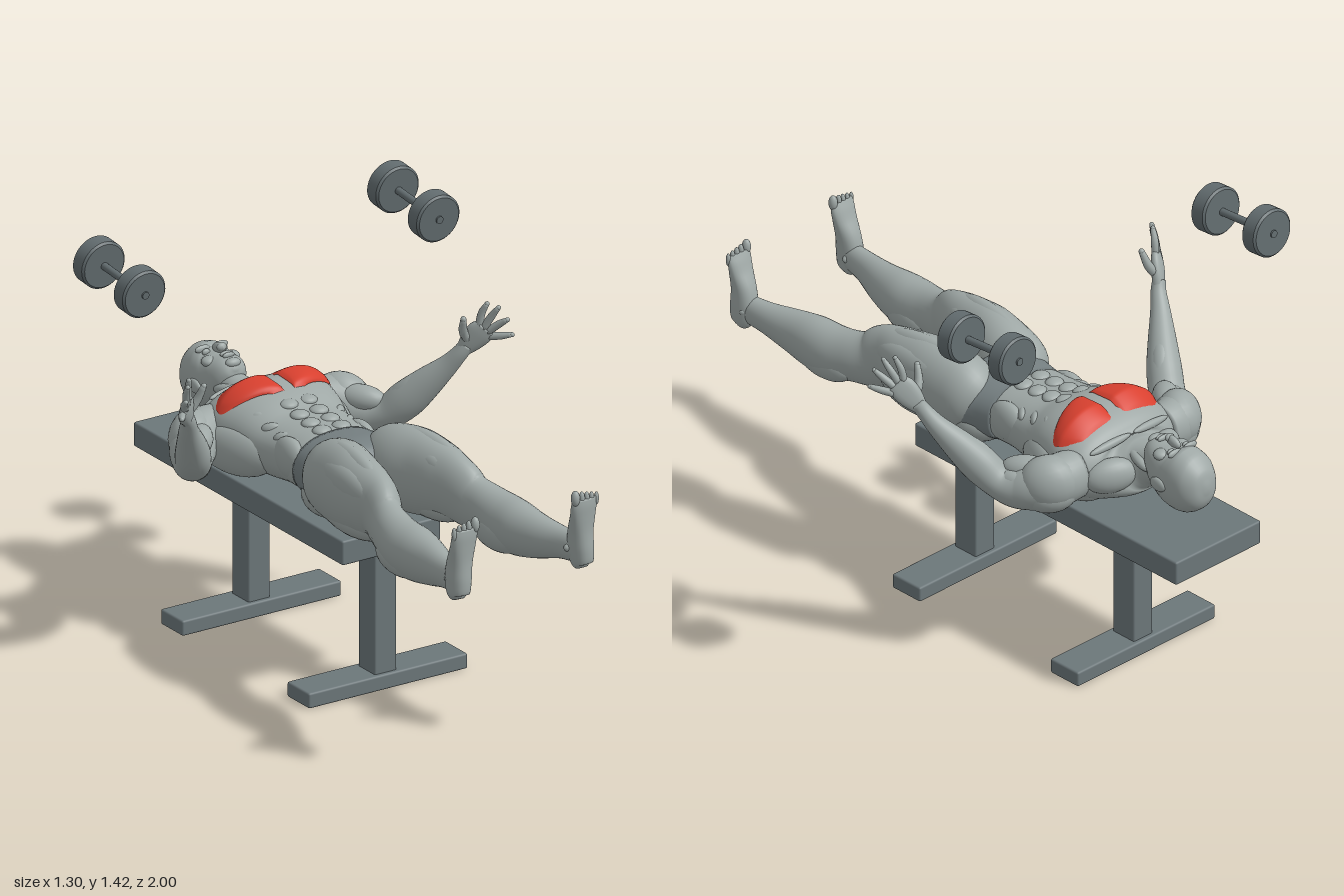
import * as THREE from 'three';
import { toCreasedNormals } from 'three/addons/utils/BufferGeometryUtils.js';
import { RoundedBoxGeometry } from 'three/addons/geometries/RoundedBoxGeometry.js';

const V = (x, y, z) => new THREE.Vector3(x, y, z);
const paint = (name, color) => Object.assign(new THREE.MeshStandardMaterial({ color }), { name });

// Smooth skin over cross-sections [x, y, z, sideRadius, upRadius], mirrored by s
function loft(rows, s = 1, up = V(0, 1, 0), power = 2, sides = 32, per = 5) {
  const path = new THREE.CatmullRomCurve3(rows.map(r => V(r[0] * s, r[1], r[2])), false, 'catmullrom');
  const size = new THREE.CatmullRomCurve3(rows.map(r => V(r[3], r[4], 0)), false, 'catmullrom');
  const steps = (rows.length - 1) * per, pos = [], idx = [];
  for (let i = 0; i <= steps; i++) {
    const c = path.getPoint(i / steps), t = path.getTangent(i / steps), r = size.getPoint(i / steps);
    const side = V().crossVectors(t, up).normalize(), top = V().crossVectors(side, t);
    for (let j = 0; j < sides; j++) {
      const a = j / sides * Math.PI * 2, ca = Math.cos(a), sa = Math.sin(a);
      const p = c.clone()
        .addScaledVector(side, Math.max(r.x, 0.001) * Math.sign(ca) * Math.abs(ca) ** (2 / power))
        .addScaledVector(top, Math.max(r.y, 0.001) * Math.sign(sa) * Math.abs(sa) ** (2 / power));
      pos.push(p.x, p.y, p.z);
      if (i < steps) {
        const k = i * sides + j, n = i * sides + (j + 1) % sides;
        idx.push(k, k + sides, n, n, k + sides, n + sides);
      }
    }
  }
  // End caps
  const first = path.getPoint(0), last = path.getPoint(1), m = pos.length / 3, e = steps * sides;
  pos.push(...first.toArray(), ...last.toArray());
  for (let j = 0; j < sides; j++) {
    const n = (j + 1) % sides;
    idx.push(m, j, n, m + 1, e + n, e + j);
  }
  const g = new THREE.BufferGeometry();
  g.setAttribute('position', new THREE.Float32BufferAttribute(pos, 3));
  g.setIndex(idx);
  g.computeVertexNormals();
  return g;
}

const TORSO = [[-0.74, 0.735, 0.052, 0.06], [-0.69, 0.725, 0.058, 0.068], [-0.65, 0.71, 0.085, 0.085],
  [-0.615, 0.695, 0.17, 0.1], [-0.56, 0.695, 0.23, 0.12], [-0.48, 0.71, 0.235, 0.142], [-0.4, 0.71, 0.215, 0.137],
  [-0.3, 0.695, 0.185, 0.118], [-0.2, 0.695, 0.168, 0.107], [-0.12, 0.693, 0.166, 0.105], [-0.06, 0.69, 0.165, 0.1]];
const TP = 2.3;

// Height of the chest and belly surface at (x, z)
function torsoTop(x, z) {
  const i = Math.max(1, TORSO.findIndex(r => r[0] >= z)), a = TORSO[i - 1], b = TORSO[i];
  const [, y, w, h] = a.map((v, k) => THREE.MathUtils.lerp(v, b[k], (z - a[0]) / (b[0] - a[0])));
  return y + h * Math.max(0, 1 - (Math.abs(x) / w) ** TP) ** (1 / TP);
}

// Domed chest muscle following the torso surface
function chestPatch(s) {
  const nu = 20, nv = 20, pos = [], idx = [];
  const edge = new THREE.SplineCurve([0.165, 0.195, 0.215, 0.205, 0.15, 0.06].map((x, i) => new THREE.Vector2(i, x)));
  for (let i = 0; i <= nu; i++) for (let j = 0; j <= nv; j++) {
    const u = i / nu, v = j / nv, z = -0.545 + 0.165 * u, x = 0.02 + (edge.getPoint(u).y - 0.02) * v;
    const dome = Math.sqrt(Math.max(0, Math.sin(Math.PI * u) * Math.sin(Math.PI * v)));
    pos.push(x * s, torsoTop(x, z) + 0.007 + 0.024 * dome, z);
    if (i < nu && j < nv) {
      const k = i * (nv + 1) + j, n = k + nv + 1;
      idx.push(...(s > 0 ? [k, n, k + 1, k + 1, n, n + 1] : [k, k + 1, n, k + 1, n + 1, n]));
    }
  }
  const g = new THREE.BufferGeometry();
  g.setAttribute('position', new THREE.Float32BufferAttribute(pos, 3));
  g.setIndex(idx);
  g.computeVertexNormals();
  return g;
}

export function createModel() {
  const root = new THREE.Group();
  const skin = paint('greySkin', 0x9fa8a6), bench = paint('benchGrey', 0x6c777a), iron = paint('ironGrey', 0x626c6f);
  const cloth = paint('briefsGrey', 0x768082), red = paint('muscleRed', 0xd8402f);
  const add = (parent, name, geo, mat) => {
    const m = new THREE.Mesh(geo, mat);
    m.name = name;
    parent.add(m);
    return m;
  };
  const group = name => {
    const g = new THREE.Group();
    g.name = name;
    root.add(g);
    return g;
  };
  // Ellipsoid, optionally aligned along a direction
  const blob = (parent, name, p, r, dir) => {
    const m = add(parent, name, new THREE.SphereGeometry(1, 20, 14), skin);
    m.position.set(...p);
    m.scale.set(...r);
    if (dir) m.quaternion.setFromUnitVectors(V(0, 0, 1), V(...dir).normalize());
  };

  // Bench
  const benchGroup = group('bench');
  const box = (name, w, h, d, y, z) =>
    add(benchGroup, name, new RoundedBoxGeometry(w, h, d, 2, 0.007), bench).position.set(0, y, z);
  box('benchPad', 0.38, 0.085, 1.21, 0.52, -0.395);
  for (const z of [0.128, -0.603]) {
    box('benchPost', 0.085, 0.45, 0.098, 0.265, z);
    box('benchFoot', 0.615, 0.053, 0.128, 0.0265, z);
  }

  // Dumbbells
  const profile = [[0, -0.032], [0.076, -0.032], [0.083, -0.025], [0.083, 0.025], [0.076, 0.032], [0, 0.032]];
  const disc = toCreasedNormals(new THREE.LatheGeometry(profile.map(p => new THREE.Vector2(...p)), 40), 0.6);
  for (const s of [1, -1]) {
    const bell = group(s > 0 ? 'leftDumbbell' : 'rightDumbbell');
    bell.position.set(0.569 * s, 1.323, -0.515);
    bell.rotation.x = 0.085;
    add(bell, 'handle', new THREE.CylinderGeometry(0.013, 0.013, 0.312, 16), iron).rotation.x = Math.PI / 2;
    for (const z of [0.118, -0.118]) {
      const d = add(bell, 'weight', disc, iron);
      d.rotation.x = Math.PI / 2;
      d.position.z = z;
    }
  }

  // Torso and briefs
  const body = group('body');
  add(body, 'torso', loft(TORSO.map(([z, y, a, b]) => [0, y, z, a, b]), 1, V(0, 1, 0), TP, 48), skin);
  add(body, 'briefs', loft([[0, 0.693, -0.115, 0.166, 0.107], [0, 0.69, -0.05, 0.178, 0.116],
    [0, 0.69, 0.02, 0.19, 0.118], [0, 0.69, 0.075, 0.13, 0.1], [0, 0.69, 0.11, 0.03, 0.05]], 1, V(0, 1, 0), TP, 40), cloth);

  // Head and face
  const head = group('head');
  add(head, 'skull', loft([[0, 0.742, -0.949, 0.01, 0.015], [0, 0.741, -0.935, 0.05, 0.062], [0, 0.738, -0.895, 0.079, 0.1],
    [0, 0.738, -0.84, 0.085, 0.113], [0, 0.752, -0.79, 0.08, 0.1], [0, 0.777, -0.75, 0.07, 0.073],
    [0, 0.798, -0.72, 0.056, 0.05], [0, 0.81, -0.7, 0.036, 0.03], [0, 0.815, -0.69, 0.008, 0.008]], 1, V(0, 1, 0), 2.2), skin);
  blob(head, 'nose', [0, 0.85, -0.79], [0.014, 0.018, 0.032], [0, 0.3, 1]);
  blob(head, 'noseTip', [0, 0.858, -0.773], [0.018, 0.014, 0.012]);
  blob(head, 'upperLip', [0, 0.845, -0.745], [0.026, 0.01, 0.008]);
  blob(head, 'lowerLip', [0, 0.843, -0.733], [0.023, 0.01, 0.007]);
  blob(head, 'chin', [0, 0.826, -0.708], [0.028, 0.016, 0.018]);

  for (const s of [1, -1]) {
    const tag = s > 0 ? 'left' : 'right';
    const muscle = (name, [x, y, z], r, dir) => blob(body, tag + name, [x * s, y, z], r, dir && [dir[0] * s, dir[1], dir[2]]);
    const feature = (name, [x, y, z], r) => blob(head, tag + name, [x * s, y, z], r);
    feature('Ear', [0.084, 0.73, -0.805], [0.012, 0.024, 0.034]);
    feature('Brow', [0.034, 0.838, -0.832], [0.03, 0.013, 0.009]);
    feature('Eye', [0.034, 0.834, -0.813], [0.015, 0.011, 0.008]);
    feature('Cheek', [0.043, 0.815, -0.78], [0.028, 0.018, 0.026]);

    // Chest, belly and back muscles
    add(body, tag + 'Chest', chestPatch(s), red);
    muscle('Collarbone', [0.09, 0.79, -0.592], [0.013, 0.014, 0.085], [1, -0.1, 0.1]);
    muscle('NeckMuscle', [0.034, 0.75, -0.67], [0.022, 0.03, 0.07], [0.3, -0.2, -1]);
    muscle('Trapezius', [0.12, 0.7, -0.625], [0.045, 0.06, 0.09], [1, -0.1, 0.5]);
    for (let i = 0; i < 4; i++) {
      const z = -0.33 + i * 0.064;
      muscle('Abdominal', [0.037, torsoTop(0.037, z) - 0.004, z], [0.033, 0.017, 0.03]);
      muscle('Rib', [0.135 - i * 0.006, torsoTop(0.135, z) - 0.012, z - 0.02], [0.017, 0.025, 0.038], [1, 0, -0.9]);
    }
    muscle('Oblique', [0.135, 0.71, -0.17], [0.04, 0.07, 0.085]);
    muscle('BackMuscle', [0.19, 0.67, -0.4], [0.055, 0.085, 0.15], [0.4, 0, -1]);
    muscle('ShoulderBlade', [0.12, 0.635, -0.5], [0.09, 0.065, 0.1]);
    muscle('Buttock', [0.1, 0.637, 0.01], [0.092, 0.073, 0.11]);

    // Arm
    add(body, tag + 'Arm', loft([[0.18, 0.7, -0.535, 0.07, 0.085], [0.26, 0.695, -0.52, 0.08, 0.09],
      [0.315, 0.675, -0.47, 0.076, 0.08], [0.35, 0.667, -0.42, 0.066, 0.07], [0.38, 0.685, -0.37, 0.06, 0.058],
      [0.415, 0.738, -0.32, 0.058, 0.062], [0.455, 0.8, -0.27, 0.048, 0.052], [0.5, 0.87, -0.215, 0.034, 0.035],
      [0.525, 0.92, -0.18, 0.026, 0.027], [0.543, 0.953, -0.163, 0.022, 0.026]], s), skin);
    muscle('Deltoid', [0.29, 0.7, -0.515], [0.075, 0.092, 0.1], [0.7, -0.2, 0.7]);
    muscle('RearDeltoid', [0.29, 0.66, -0.52], [0.065, 0.065, 0.09], [0.7, -0.1, 0.6]);
    muscle('Biceps', [0.312, 0.725, -0.435], [0.045, 0.045, 0.085], [0.6, 0, 0.8]);
    muscle('Triceps', [0.335, 0.64, -0.43], [0.055, 0.045, 0.085], [0.6, 0.1, 0.8]);
    muscle('OuterArm', [0.365, 0.69, -0.43], [0.035, 0.045, 0.07], [0.4, 0, 0.9]);
    muscle('ForearmMuscle', [0.405, 0.765, -0.315], [0.035, 0.04, 0.1], [0.5, 0.7, 0.55]);

    // Hand
    const across = V(-0.04 * s, 0.05, -0.02).normalize();
    add(body, tag + 'Palm', loft([[0.532, 0.932, -0.173, 0.018, 0.024], [0.55, 0.965, -0.153, 0.02, 0.038],
      [0.568, 0.998, -0.13, 0.018, 0.044], [0.581, 1.02, -0.112, 0.013, 0.036]], s, across, 2.4, 20), skin);
    const fingers = [[[0.563, 1.025, -0.126], [0.568, 1.07, -0.118], [0.577, 1.107, -0.1]],
      [[0.575, 1.018, -0.116], [0.59, 1.06, -0.096], [0.601, 1.098, -0.07]],
      [[0.587, 1.005, -0.11], [0.608, 1.035, -0.08], [0.622, 1.058, -0.05]],
      [[0.594, 0.986, -0.112], [0.618, 0.994, -0.078], [0.639, 1.003, -0.048]],
      [[0.545, 0.965, -0.158], [0.515, 1.01, -0.145], [0.502, 1.062, -0.125]]];
    fingers.forEach((f, i) => {
      const radii = [0.013, 0.0125, 0.008].map(r => i === 4 ? r * 1.2 : r);
      add(body, tag + (i === 4 ? 'Thumb' : 'Finger'), loft(f.map((p, k) => [...p, radii[k], radii[k]]), s, across, 2, 10, 4), skin);
      muscle('Fingertip', f[2], Array(3).fill(radii[2]));
    });

    // Leg
    add(body, tag + 'Leg', loft([[0.105, 0.69, -0.04, 0.05, 0.07], [0.112, 0.705, 0.02, 0.1, 0.122], [0.116, 0.717, 0.1, 0.11, 0.143],
      [0.136, 0.725, 0.2, 0.1, 0.145], [0.146, 0.73, 0.3, 0.086, 0.127], [0.152, 0.722, 0.37, 0.068, 0.115],
      [0.168, 0.698, 0.43, 0.061, 0.097], [0.185, 0.688, 0.5, 0.069, 0.088], [0.195, 0.675, 0.58, 0.079, 0.093],
      [0.197, 0.675, 0.66, 0.077, 0.091], [0.205, 0.68, 0.75, 0.062, 0.076], [0.222, 0.69, 0.85, 0.045, 0.056],
      [0.23, 0.695, 0.92, 0.037, 0.05], [0.233, 0.7, 0.96, 0.032, 0.045]], s), skin);
    muscle('OuterThigh', [0.18, 0.77, 0.22], [0.05, 0.07, 0.17], [0.05, 0, 1]);
    muscle('MiddleThigh', [0.14, 0.815, 0.2], [0.04, 0.058, 0.17], [0.12, 0, 1]);
    muscle('InnerThigh', [0.108, 0.785, 0.3], [0.034, 0.05, 0.085], [0.2, -0.1, 1]);
    muscle('Hamstring', [0.145, 0.64, 0.22], [0.07, 0.058, 0.17]);
    muscle('Kneecap', [0.168, 0.772, 0.425], [0.034, 0.032, 0.04]);
    muscle('InnerCalf', [0.16, 0.645, 0.59], [0.05, 0.062, 0.12], [0.1, 0, 1]);
    muscle('OuterCalf', [0.225, 0.645, 0.59], [0.045, 0.058, 0.12], [0, 0, 1]);
    muscle('Shin', [0.21, 0.725, 0.64], [0.03, 0.036, 0.16], [0.1, -0.12, 1]);
    muscle('Ankle', [0.231, 0.7, 0.928], [0.045, 0.02, 0.02]);

    // Foot and toes
    add(body, tag + 'Foot', loft([[0.24, 0.635, 0.962, 0.014, 0.014], [0.239, 0.65, 0.955, 0.033, 0.04], [0.237, 0.7, 0.949, 0.039, 0.049],
      [0.234, 0.76, 0.953, 0.04, 0.042], [0.232, 0.82, 0.968, 0.045, 0.027], [0.231, 0.86, 0.977, 0.048, 0.019],
      [0.231, 0.885, 0.982, 0.045, 0.012]], s, V(0, 0, 1), 2.2, 24), skin);
    for (let i = 0; i < 5; i++) {
      const r = i ? 0.0105 - i * 0.0006 : 0.015;
      muscle('Toe', [i ? 0.2 + i * 0.0188 : 0.194, 0.891 - i * 0.004, 0.983], [r, i ? 0.023 : 0.027, r]);
    }
  }
  return root;
}
